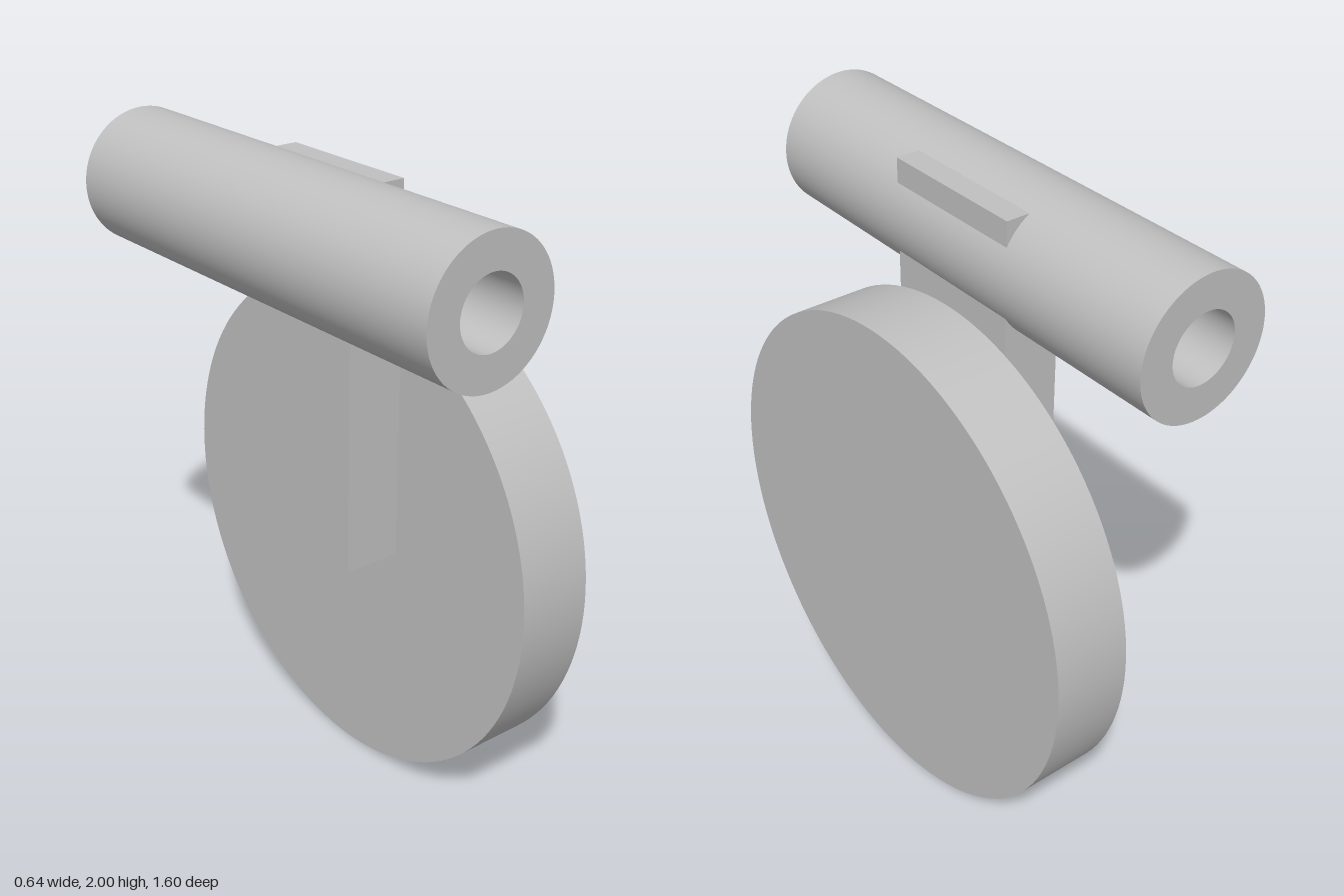
import * as THREE from 'three';
import { mergeGeometries } from 'three/addons/utils/BufferGeometryUtils.js';

const TUBE = { x: -0.11, y: 1.786, outer: 0.214, inner: 0.107, half: 0.8 };

// Hollow tube along z: one lathe strip per surface keeps the rims sharp
function tubeGeometry({ outer, inner, half }) {
  const ring = [[outer, -half], [outer, half], [inner, half], [inner, -half]]
    .map(([r, y]) => new THREE.Vector2(r, y));
  const strips = ring.map((p, i) => new THREE.LatheGeometry([p, ring[(i + 1) % 4]], 96));
  return mergeGeometries(strips).rotateX(Math.PI / 2);
}

// Flat bar whose notch, hidden in the tube wall, leaves the bore clear
function barGeometry(right, bottom, top, depth) {
  const notch = (TUBE.outer + TUBE.inner) / 2;
  const shape = new THREE.Shape();
  shape.moveTo(TUBE.x, bottom);
  shape.lineTo(right, bottom);
  shape.lineTo(right, top);
  shape.lineTo(TUBE.x, top);
  shape.absarc(TUBE.x, TUBE.y, notch, Math.PI / 2, -Math.PI / 2, true);
  shape.closePath();
  return new THREE.ExtrudeGeometry(shape, { depth, bevelEnabled: false, curveSegments: 32 })
    .translate(0, 0, -depth / 2);
}

export function createModel() {
  const group = new THREE.Group();
  group.name = 'discHinge';
  const grey = new THREE.MeshStandardMaterial({ color: 0xc0c0c0 });
  grey.name = 'grey';

  const add = (name, geometry, x = 0, y = 0) => {
    const mesh = new THREE.Mesh(geometry, grey);
    mesh.name = name;
    mesh.position.set(x, y, 0);
    group.add(mesh);
  };

  add('tube', tubeGeometry(TUBE), TUBE.x, TUBE.y);
  add('connectingBar', barGeometry(0.075, 0.8, 1.97, 0.49));
  // Disc standing on edge, facing sideways
  add('disc', new THREE.CylinderGeometry(0.8, 0.8, 0.246, 128).rotateZ(Math.PI / 2), 0.198, 0.8);

  return group;
}
